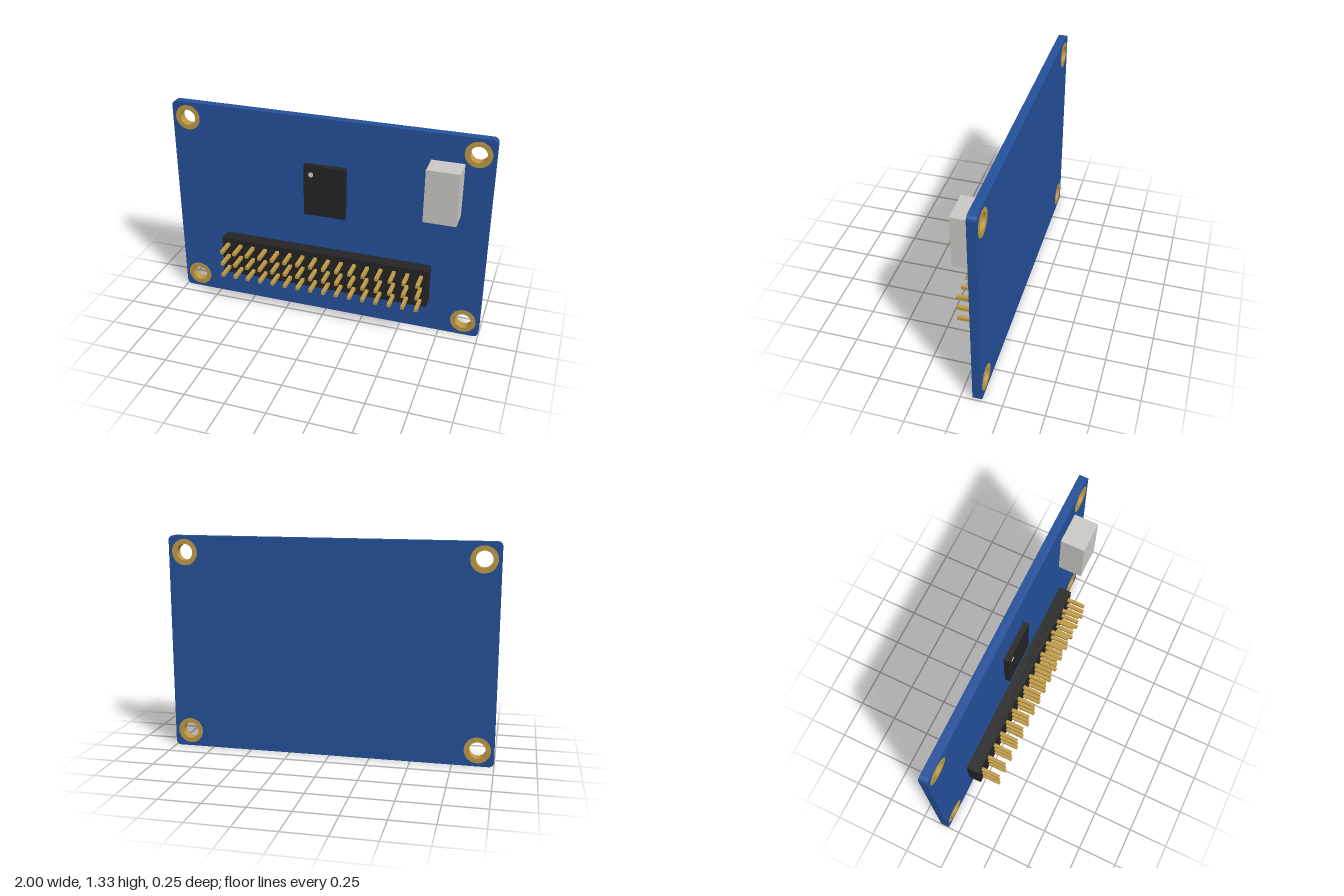
import * as THREE from 'three';

const BACK = -0.126, FACE = -0.073, HEIGHT = 1.333;
const mat = (color) => new THREE.MeshStandardMaterial({ color });

export function createModel() {
  const model = new THREE.Group();
  const blue = mat(0x24509a), gold = mat(0xbf9a45), black = mat(0x242424), grey = mat(0xcccccc);

  const add = (name, geometry, material, parent = model) => {
    const mesh = new THREE.Mesh(geometry, material);
    mesh.name = name;
    parent.add(mesh);
    return mesh;
  };
  // box given by its limits on each axis
  const block = (name, material, x0, x1, y0, y1, z0, z1, parent) => {
    const mesh = add(name, new THREE.BoxGeometry(x1 - x0, y1 - y0, z1 - z0), material, parent);
    mesh.position.set((x0 + x1) / 2, (y0 + y1) / 2, (z0 + z1) / 2);
    return mesh;
  };
  const circle = (Kind, x, y, r) => new Kind().absarc(x, y, r, 0, Math.PI * 2, false);

  const holes = [];
  for (const x of [-0.9, 0.9]) for (const y of [0.1, HEIGHT - 0.1]) holes.push([x, y]);

  // circuit board with rounded corners and mounting holes
  const r = 0.03;
  const outline = new THREE.Shape();
  outline.absarc(1 - r, r, r, -Math.PI / 2, 0);
  outline.absarc(1 - r, HEIGHT - r, r, 0, Math.PI / 2);
  outline.absarc(-1 + r, HEIGHT - r, r, Math.PI / 2, Math.PI);
  outline.absarc(-1 + r, r, r, Math.PI, Math.PI * 1.5);
  for (const [x, y] of holes) outline.holes.push(circle(THREE.Path, x, y, 0.052));
  add('board', new THREE.ExtrudeGeometry(outline, {
    depth: FACE - BACK, bevelEnabled: false, curveSegments: 16,
  }), blue).position.z = BACK;

  // plated rings lining the mounting holes, just proud of both faces
  const ring = circle(THREE.Shape, 0, 0, 0.08);
  ring.holes.push(circle(THREE.Path, 0, 0, 0.05));
  const ringGeometry = new THREE.ExtrudeGeometry(ring, {
    depth: FACE - BACK + 0.003, bevelEnabled: false, curveSegments: 24,
  });
  for (const [x, y] of holes) {
    add('mountingRing', ringGeometry, gold).position.set(x, y, BACK - 0.0015);
  }

  // chip with its orientation dot
  block('chip', black, -0.133, 0.13, 0.703, 1.037, FACE, -0.039);
  const dot = add('chipDot', new THREE.CylinderGeometry(0.016, 0.016, 0.004, 24), grey);
  dot.rotation.x = Math.PI / 2;
  dot.position.set(-0.087, 0.977, -0.039);

  // side connector
  block('connector', mat(0xcccac6), 0.633, 0.83, 0.837, 1.167, FACE, 0.077);

  // pin header: 16 columns by 3 rows
  const header = new THREE.Group();
  header.name = 'pinHeader';
  model.add(header);
  block('headerBody', black, -0.677, 0.677, 0.209, 0.463, FACE, 0.01, header);
  const pitch = 0.0847, h = 0.0105;
  for (let col = 0; col < 16; col++) {
    for (let row = 0; row < 3; row++) {
      const x = (col - 7.5) * pitch, y = 0.336 + (row - 1) * pitch;
      block('pin', gold, x - h, x + h, y - h, y + h, 0, 0.127, header);
    }
  }
  return model;
}
